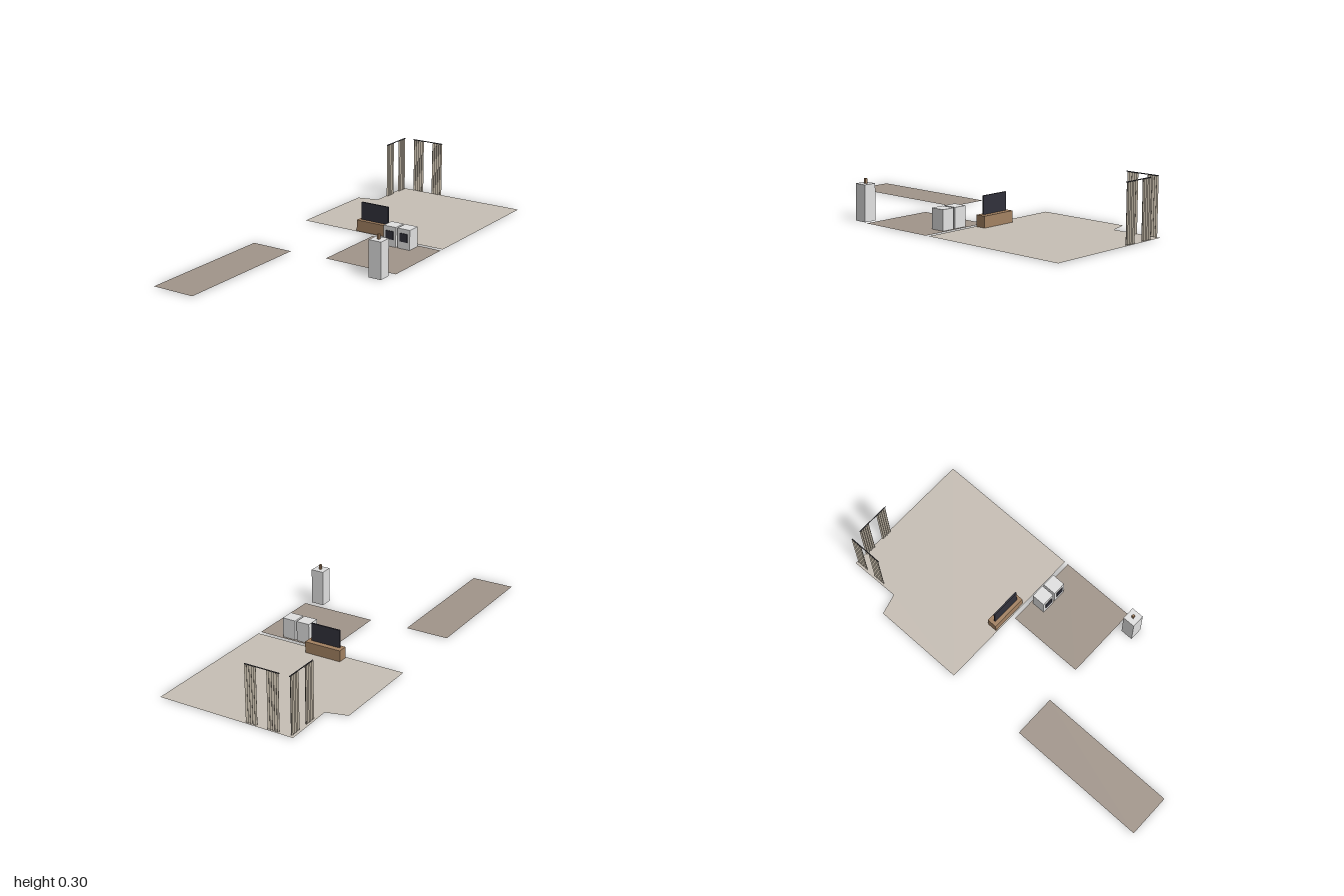
import * as THREE from 'three';

const mat = (name, color, extra = {}) => {
  const m = new THREE.MeshStandardMaterial({ color, ...extra });
  m.name = name;
  return m;
};

export function createModel() {
  const root = new THREE.Group();
  root.name = 'apartmentLayout';

  const double = { side: THREE.DoubleSide };
  const paleFloor = mat('paleFloor', 0xc8c0b6, double);
  const darkFloor = mat('darkFloor', 0xa2968b, double);
  const rugBrown = mat('rugBrown', 0x826b5b);
  const wood = mat('wood', 0xa48262);
  const white = mat('applianceWhite', 0xe2e2e2);
  const black = mat('screenBlack', 0x31313b);
  const fabric = mat('curtainFabric', 0xb8ae9e, { side: THREE.DoubleSide, flatShading: true });
  const metal = mat('rodMetal', 0x3c3c42);

  const add = (name, geometry, material, parent = root) => {
    const mesh = new THREE.Mesh(geometry, material);
    mesh.name = name;
    parent.add(mesh);
    return mesh;
  };

  // Box given by its limits on each axis
  const box = (name, [x0, x1], [y0, y1], [z0, z1], material, parent) => {
    const mesh = add(name, new THREE.BoxGeometry(x1 - x0, y1 - y0, z1 - z0), material, parent);
    mesh.position.set((x0 + x1) / 2, (y0 + y1) / 2, (z0 + z1) / 2);
    return mesh;
  };

  // Flat floor from [x, z] corners
  const floor = (name, corners, material) => {
    const shape = new THREE.Shape(corners.map(([x, z]) => new THREE.Vector2(x, -z)));
    const geometry = new THREE.ShapeGeometry(shape).rotateX(-Math.PI / 2);
    add(name, geometry, material).position.y = 0.003;
  };
  const rectangle = (x0, x1, z0, z1) => [[x0, z1], [x1, z1], [x1, z0], [x0, z0]];

  floor('livingRoomFloor',
    [[-0.42, -0.2], [0.42, -0.2], [0.42, -1], [-0.315, -1], [-0.31, -0.73], [-0.42, -0.7]], paleFloor);
  floor('laundryFloor', rectangle(0.015, 0.42, -0.18, 0.235), darkFloor);
  floor('hallFloor', rectangle(-0.42, -0.19, 0.245, 1), darkFloor);

  // Thin rugs just beneath the floor sheets
  box('livingRoomRug', [-0.15, 0.145], [0, 0.002], [-0.92, -0.71], rugBrown);
  box('hallRug', [-0.39, -0.22], [0, 0.002], [0.33, 0.915], rugBrown);

  // Television on its low cabinet
  box('televisionCabinet', [-0.1, 0.1], [0, 0.062], [-0.26, -0.207], wood);
  box('television', [-0.082, 0.08], [0.063, 0.157], [-0.234, -0.226], black);

  // Washer and dryer with square doors
  for (const [name, x] of [['washer', 0.174], ['dryer', 0.256]]) {
    const machine = new THREE.Group();
    machine.name = name;
    root.add(machine);
    box(name + 'Body', [x - 0.036, x + 0.036], [0, 0.108], [-0.168, -0.094], white, machine);
    box(name + 'Door', [x - 0.022, x + 0.022], [0.041, 0.085], [-0.095, -0.09], black, machine);
  }

  // Tall stand with a small wooden block on top
  box('tallStand', [0.331, 0.4], [0, 0.188], [0.268, 0.335], white);
  box('standOrnament', [0.359, 0.371], [0.188, 0.213], [0.295, 0.307], wood);

  // Pleated panel hanging along local x
  const curtainPanel = (name, x0, x1, parent) => {
    const folds = 10;
    const geometry = new THREE.PlaneGeometry(x1 - x0, 0.292, folds, 1);
    const p = geometry.attributes.position;
    for (let i = 0; i < p.count; i++) p.setZ(i, (i % (folds + 1)) % 2 ? 0.004 : -0.004);
    geometry.computeVertexNormals();
    add(name, geometry, fabric, parent).position.set((x0 + x1) / 2, 0.151, 0);
  };

  // A rod with a panel at each end
  const curtainSet = (name) => {
    const set = new THREE.Group();
    set.name = name;
    root.add(set);
    const rod = new THREE.CylinderGeometry(0.0025, 0.0025, 0.186, 10).rotateZ(Math.PI / 2);
    add('curtainRod', rod, metal, set).position.y = 0.299;
    curtainPanel('leftCurtain', 0.028, 0.091, set);
    curtainPanel('rightCurtain', -0.091, -0.027, set);
    return set;
  };
  curtainSet('backCurtains').position.set(-0.152, 0, -0.992);
  const side = curtainSet('sideCurtains');
  side.position.set(-0.299, 0, -0.9);
  side.rotation.y = Math.PI / 2;

  return root;
}
